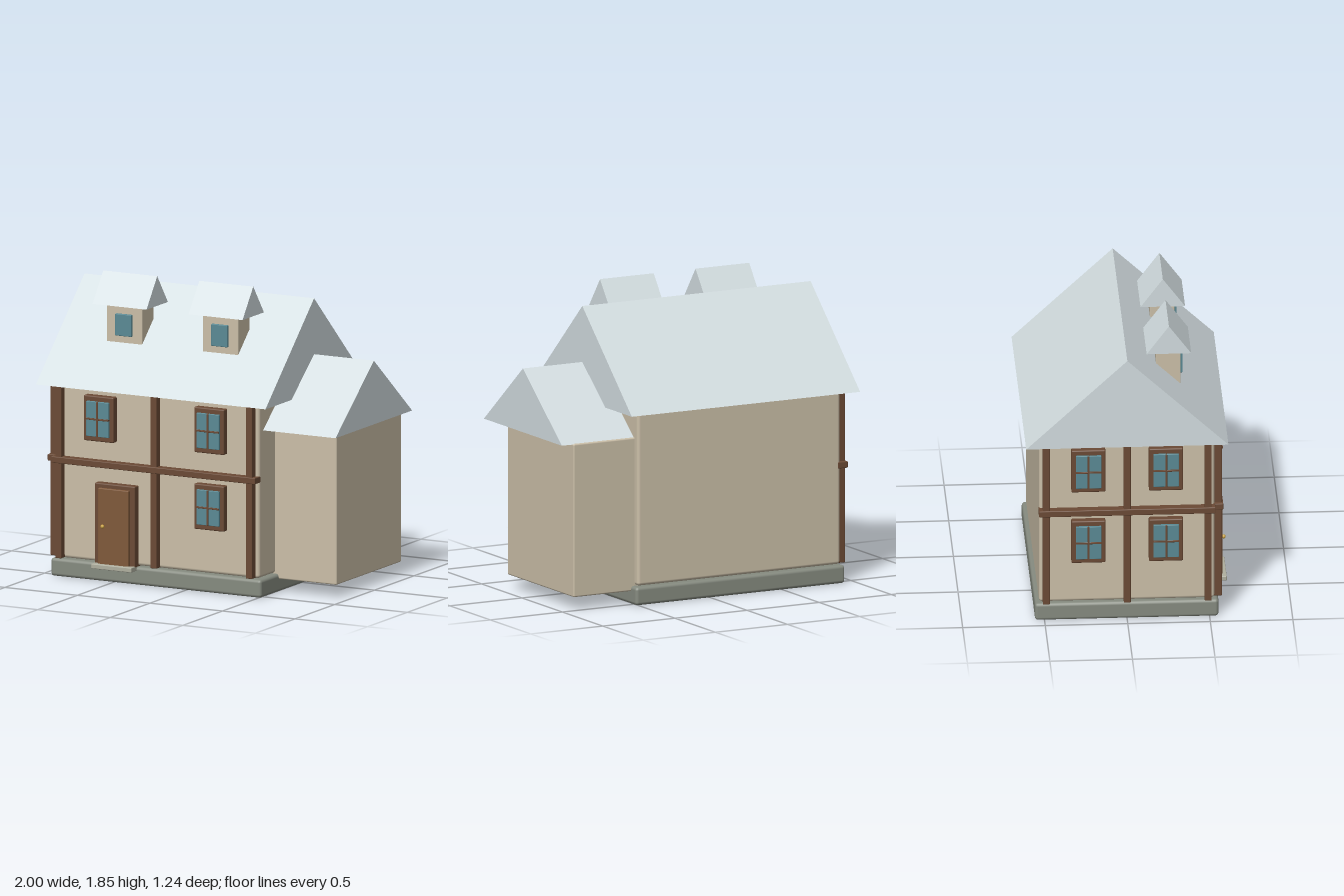
import * as THREE from 'three';
import { RoundedBoxGeometry } from 'three/addons/geometries/RoundedBoxGeometry.js';

const mat = (color) => new THREE.MeshStandardMaterial({ color });
const M = {
  wall: mat(0xcbbfa8), stone: mat(0x868b80), roof: mat(0xd3dde0), timber: mat(0x6b4a35),
  door: mat(0x80593a), glass: mat(0x5a8a95), step: mat(0xb0b0a0), brass: mat(0xc8a040),
};

// Rounded box given by its extents on each axis
function box(name, material, [x0, x1], [y0, y1], [z0, z1], r = 0.005) {
  const g = new RoundedBoxGeometry(x1 - x0, y1 - y0, z1 - z0, 2, r);
  const m = new THREE.Mesh(g, material);
  m.name = name;
  m.position.set((x0 + x1) / 2, (y0 + y1) / 2, (z0 + z1) / 2);
  return m;
}

// Solid gable prism with its ridge along x
function gable(name, [x0, x1], [y0, y1], [z0, z1]) {
  const s = new THREE.Shape([
    new THREE.Vector2(-z1, y0), new THREE.Vector2(-z0, y0), new THREE.Vector2(-(z0 + z1) / 2, y1),
  ]);
  const g = new THREE.ExtrudeGeometry(s, { depth: x1 - x0, bevelEnabled: false });
  g.rotateY(Math.PI / 2);
  g.translate(x0, 0, 0);
  const m = new THREE.Mesh(g, M.roof);
  m.name = name;
  return m;
}

// Four-pane window facing +z, centred on its own origin at the wall face
function makeWindow(name) {
  const w = new THREE.Group();
  w.name = name;
  w.add(
    box('windowFrame', M.timber, [-0.103, 0.103], [-0.14, 0.14], [-0.02, 0.04], 0.008),
    box('windowGlass', M.glass, [-0.077, 0.077], [-0.108, 0.108], [0, 0.055], 0.003),
    box('verticalGlazingBar', M.timber, [-0.006, 0.006], [-0.108, 0.108], [0.02, 0.06], 0.002),
    box('horizontalGlazingBar', M.timber, [-0.077, 0.077], [-0.006, 0.006], [0.02, 0.06], 0.002),
  );
  return w;
}

export function createModel() {
  const house = new THREE.Group();
  house.name = 'house';

  // Main block
  house.add(
    box('foundation', M.stone, [-0.93, 0.52], [0, 0.112], [-0.558, 0.555], 0.02),
    box('mainWalls', M.wall, [-0.91, 0.495], [0.115, 1.185], [-0.533, 0.531], 0.02),
    gable('mainRoof', [-1, 0.583], [1.183, 1.76], [-0.615, 0.61]),
  );

  // Side wing
  house.add(
    box('wingWalls', M.wall, [0.4, 0.918], [0.08, 1.025], [-0.493, 0.328], 0.01),
    gable('wingRoof', [0.4, 0.995], [1.022, 1.415], [-0.485, 0.48]),
  );

  // Timber framing on the front and the end wall
  for (const x of [-0.865, -0.208, 0.45])
    house.add(box('frontPost', M.timber, [x - 0.021, x + 0.021], [0.118, 1.183], [0.51, 0.577]));
  house.add(box('frontBeam', M.timber, [-0.91, 0.495], [0.705, 0.745], [0.51, 0.584]));
  for (const z of [-0.49, 0, 0.49])
    house.add(box('endPost', M.timber, [-0.955, -0.89], [0.118, 1.183], [z - 0.021, z + 0.021]));
  house.add(box('endBeam', M.timber, [-0.961, -0.89], [0.705, 0.745], [-0.535, 0.535]));

  // Windows
  for (const [x, y] of [[-0.588, 1.003], [0.173, 1.003], [0.173, 0.53]]) {
    const w = makeWindow('frontWindow');
    w.position.set(x, y, 0.535);
    house.add(w);
  }
  for (const y of [1.003, 0.53]) for (const z of [-0.235, 0.235]) {
    const w = makeWindow('endWindow');
    w.rotation.y = -Math.PI / 2;
    w.position.set(-0.913, y, z);
    house.add(w);
  }

  // Entrance
  const knob = new THREE.Mesh(new THREE.SphereGeometry(0.012, 16, 12), M.brass);
  knob.name = 'doorKnob';
  knob.position.set(-0.543, 0.35, 0.607);
  house.add(
    box('doorFrame', M.timber, [-0.614, -0.336], [0.1, 0.61], [0.5, 0.578], 0.008),
    box('door', M.door, [-0.58, -0.37], [0.108, 0.583], [0.54, 0.597], 0.005),
    box('doorStep', M.step, [-0.614, -0.336], [0.087, 0.117], [0.5, 0.622], 0.005),
    knob,
  );

  // Dormers
  for (const x of [-0.538, 0.124]) {
    const d = new THREE.Group();
    d.name = 'dormer';
    d.position.x = x;
    d.add(
      box('dormerWalls', M.wall, [-0.123, 0.123], [1.41, 1.675], [0.19, 0.34], 0.006),
      box('dormerWindow', M.glass, [-0.056, 0.056], [1.48, 1.615], [0.31, 0.356], 0.004),
      gable('dormerRoof', [-0.186, 0.186], [1.67, 1.853], [0.13, 0.4]),
    );
    house.add(d);
  }
  return house;
}
